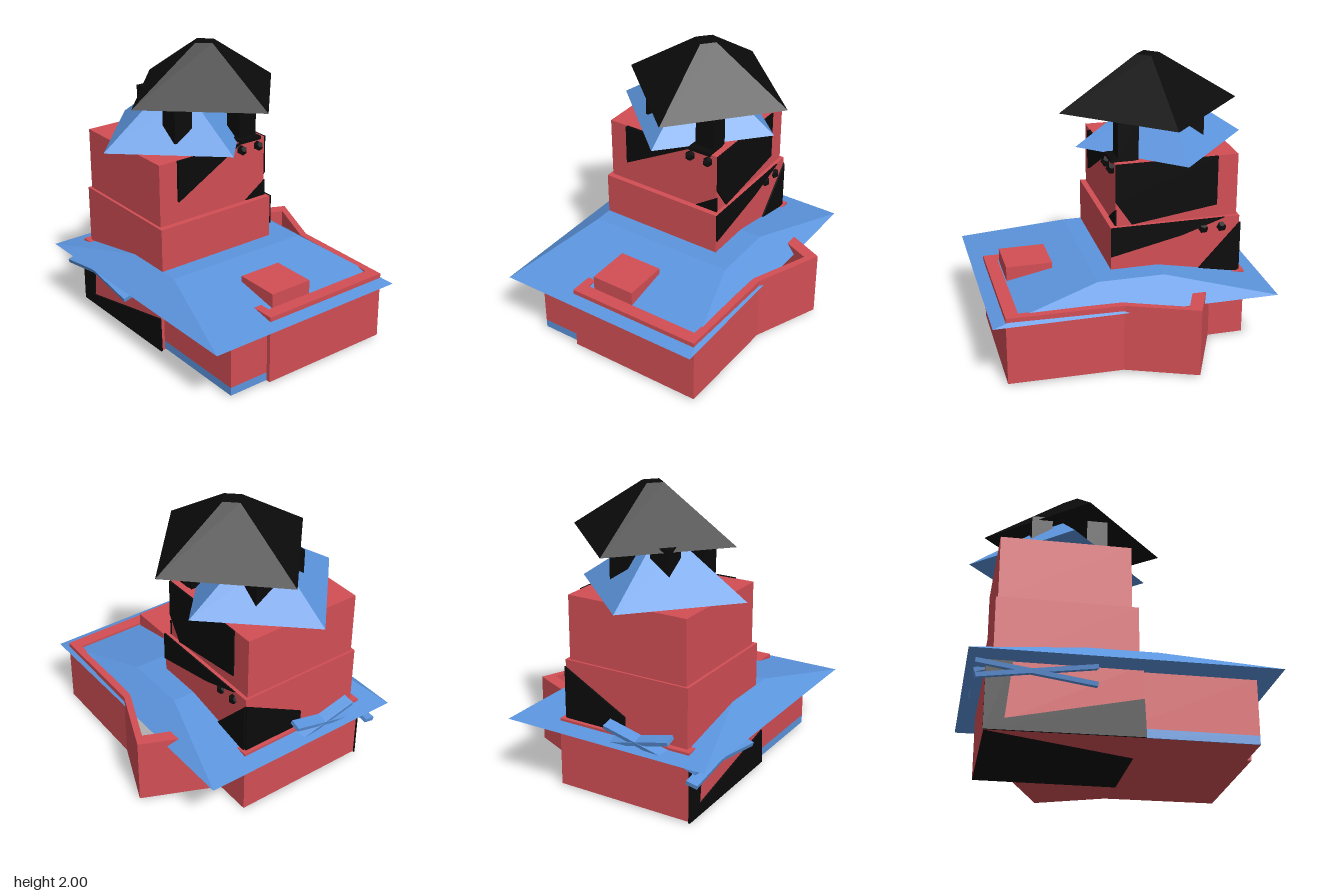
import * as THREE from 'three';

const material = (color, side = THREE.FrontSide) =>
  new THREE.MeshStandardMaterial({ color, flatShading: true, side });

export function createModel() {
  const model = new THREE.Group();
  const red = material(0xd24f55), blue = material(0x5c95de), black = material(0x0b0b0b);

  function add(name, geometry, mat) {
    const mesh = new THREE.Mesh(geometry, mat);
    mesh.name = name;
    model.add(mesh);
    return mesh;
  }

  // Box given by its limits on each axis
  function block(name, [x0, x1], [y0, y1], [z0, z1], mat) {
    const mesh = add(name, new THREE.BoxGeometry(x1 - x0, y1 - y0, z1 - z0), mat);
    mesh.position.set((x0 + x1) / 2, (y0 + y1) / 2, (z0 + z1) / 2);
    return mesh;
  }

  // Four-sided roof from a lower and an upper ring of [x, z] corners
  function roof(name, low, y0, high, y1, mat) {
    const a = low.map(([x, z]) => [x, y0, z]);
    const b = high.map(([x, z]) => [x, y1, z]);
    const out = [];
    const quad = (p, q, r, s) => out.push(...p, ...q, ...r, ...p, ...r, ...s);
    for (let i = 0; i < 4; i++) {
      const j = (i + 1) % 4;
      quad(a[i], a[j], b[j], b[i]);
    }
    quad(...b);
    quad(a[3], a[2], a[1], a[0]);
    const g = new THREE.BufferGeometry();
    g.setAttribute('position', new THREE.Float32BufferAttribute(out, 3));
    g.computeVertexNormals();
    return add(name, g, mat);
  }
  const shrink = (ring, [cx, cz], k) => ring.map(([x, z]) => [cx + (x - cx) * k, cz + (z - cz) * k]);

  const outline = pts => new THREE.Shape(pts.map(([x, y]) => new THREE.Vector2(x, y)));
  const ground = pts => outline(pts.map(([x, z]) => [x, -z]));

  // Thin dark patch on a wall; points are [x or z, y], extruded outwards
  const walls = {
    front: [0, 1, 'z'], right: [Math.PI / 2, -1, 'x'],
    back: [Math.PI, -1, 'z'], left: [-Math.PI / 2, 1, 'x'],
  };
  function patch(name, wall, at, pts, depth = 0.012) {
    const [turn, flip, axis] = walls[wall];
    const shape = outline(pts.map(([u, y]) => [u * flip, y]));
    const mesh = add(name, new THREE.ExtrudeGeometry(shape, { depth, bevelEnabled: false }), black);
    mesh.rotation.y = turn;
    mesh.position[axis] = at;
  }

  // Lower storey: front body, trim, bent back wall and floor
  block('lowerBody', [0, 0.85], [0.08, 0.46], [0, 0.64], red);
  block('baseTrim', [0, 0.85], [0.022, 0.08], [0, 0.64], blue);
  const wall = add('perimeterWall', new THREE.ExtrudeGeometry(ground([
    [-0.6, -0.32], [-0.37, -0.84], [0.1, -0.645], [0.88, -0.63], [0.88, 0.345], [0.69, 0.345],
    [0.69, 0.285], [0.79, 0.285], [0.79, -0.575], [0.1, -0.595], [-0.31, -0.765], [-0.5, -0.32],
  ]), { depth: 0.48, bevelEnabled: false }), red);
  wall.rotation.x = -Math.PI / 2;
  wall.position.y = 0.02;
  const floor = add('floor', new THREE.ShapeGeometry(outline([
    [-0.6, -0.32], [-0.37, -0.84], [0.1, -0.645], [0.88, -0.63], [0.88, 0.345],
    [0.85, 0.345], [0.85, 0.64], [-0.6, 0.64],
  ])), red);
  floor.rotation.x = Math.PI / 2;
  floor.position.y = 0.02;

  // Wide lower roof and chimney
  roof('lowerRoof', [[-0.97, 0.84], [0.97, 0.84], [0.97, -0.66], [-0.97, -0.66]], 0.45,
    [[-0.23, 0.63], [0.23, 0.63], [0.23, -0.45], [-0.23, -0.45]], 0.595, blue);
  block('chimney', [0.46, 0.78], [0.45, 0.59], [-0.07, 0.245], red);

  // Tower storeys
  block('towerBase', [-0.85, 0.12], [0.012, 0.49], [-0.32, 0.665], red);
  block('towerLower', [-0.81, 0.1], [0.45, 0.9], [-0.29, 0.63], red);
  block('towerUpper', [-0.795, 0.06], [0.9, 1.34], [-0.265, 0.61], red);

  // Charred patches
  patch('charFront', 'front', 0.665, [[-0.855, 0.005], [0.13, 0.012], [0.12, 0.26],
    [-0.73, 0.08], [-0.69, 0.46], [-0.855, 0.46]]);
  patch('charUpperSide', 'right', 0.055, [[0.47, 1.05], [0.47, 1.34], [-0.05, 1.34]], 0.025);
  patch('charUpperSideCorner', 'right', 0.055, [[-0.1, 0.905], [-0.27, 1.02], [-0.27, 0.905]]);
  patch('charUpperBack', 'back', -0.265, [[0.06, 1.07], [-0.05, 0.905], [-0.65, 0.99],
    [-0.65, 1.34], [0.06, 1.34]]);
  patch('charLowerBack', 'back', -0.29, [[0.1, 0.9], [0.1, 0.69], [-0.4, 0.8], [-0.7, 0.9]]);
  patch('charLowerBackCorner', 'back', -0.29, [[-0.81, 0.85], [-0.48, 0.49], [-0.81, 0.45]]);
  patch('charLowerLeft', 'left', -0.81, [[-0.29, 0.85], [0.17, 0.6], [0.17, 0.45], [-0.29, 0.45]]);
  const soot = add('charUnderside', new THREE.ShapeGeometry(outline([
    [-0.85, -0.32], [0.12, -0.32], [0.12, 0.3], [-0.85, 0.665],
  ])), black);
  soot.rotation.x = Math.PI / 2;
  soot.position.y = 0.003;

  // Small round stubs
  for (const [x, y, z] of [[0.075, 1.29, -0.06], [0.075, 1.29, -0.2],
    [-0.55, 0.83, -0.29], [-0.68, 0.83, -0.29]]) {
    add('stub', new THREE.DodecahedronGeometry(0.036), black).position.set(x, y, z);
  }

  // Twisted middle roof
  const mid = [[-0.97, 0.2], [-0.34, 0.778], [0.24, 0.14], [-0.39, -0.435]];
  roof('middleRoof', mid, 1.34, shrink(mid, [-0.365, 0.17], 0.26), 1.65, blue);

  // Posts carrying the top roof
  for (const [x, z, y0] of [[-0.13, 0.325, 1.4], [-0.04, -0.145, 1.34], [-0.54, 0.0, 1.36], [-0.5, 0.28, 1.4]]) {
    block('roofPost', [x - 0.07, x + 0.07], [y0, 1.67], [z - 0.07, z + 0.07], black);
  }
  block('postFoot', [-0.08, 0.08], [1.335, 1.36], [-0.22, -0.05], black);

  // Top roof
  const top = [[-0.87, 0.04], [-0.215, 0.63], [0.385, -0.03], [-0.265, -0.595]];
  roof('topRoof', top, 1.645, shrink(top, [-0.23, 0.02], 0.13), 2, black);

  // Crossed planks on the front and left side
  function plank(size, position, [rx, ry, rz]) {
    const mesh = add('plank', new THREE.BoxGeometry(...size), blue);
    mesh.position.set(...position);
    mesh.rotation.set(rx, ry, rz);
  }
  for (const s of [-1, 1]) {
    plank([0.75, 0.028, 0.08], [-0.55, 0.37 + s * 0.005, 0.72], [0.25, s * 0.05, s * 0.14]);
    plank([0.08, 0.028, 0.49], [-0.88, 0.5, 0.31], [s * 0.24, 0, 0.25]);
  }
  return model;
}
